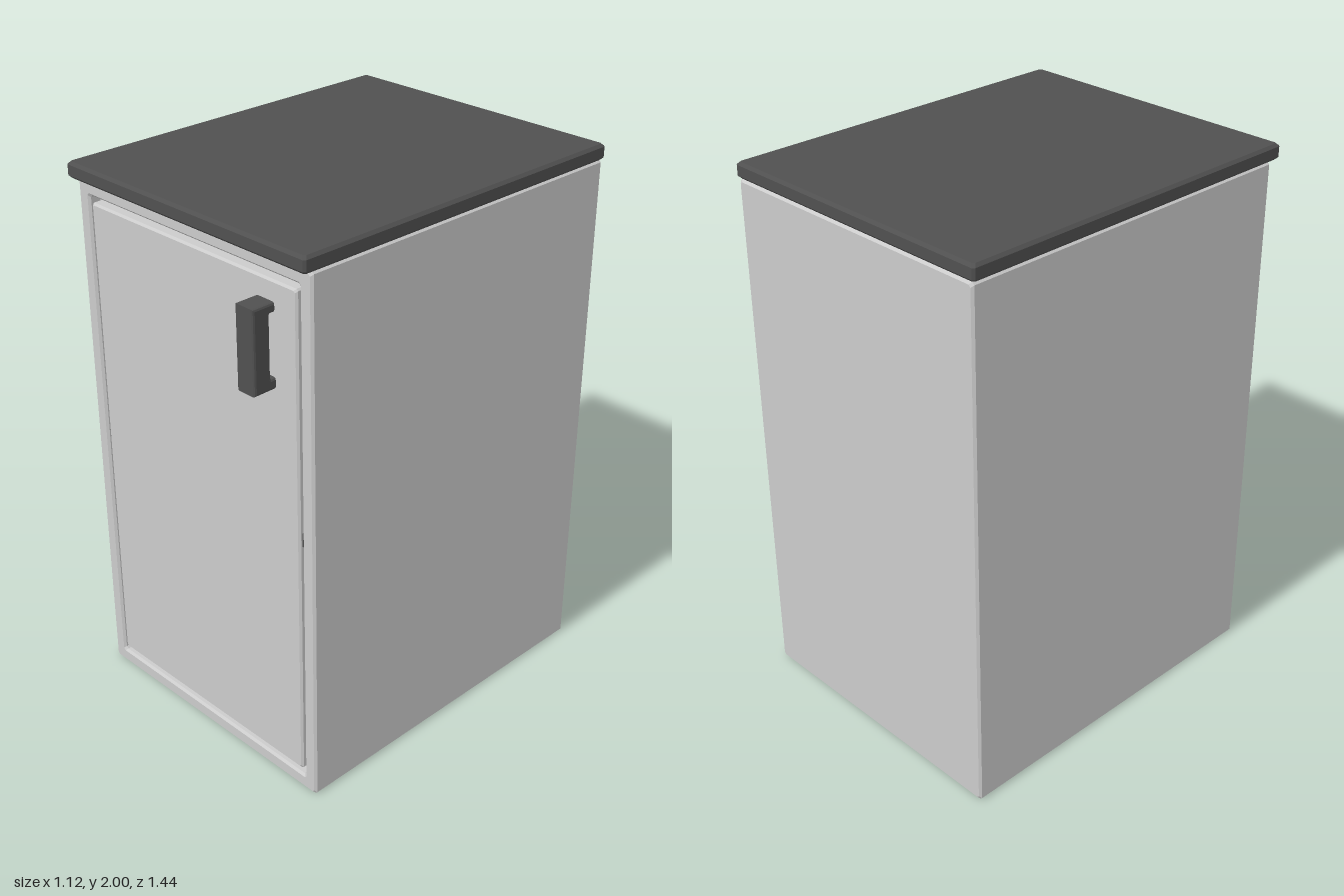
import * as THREE from 'three';

const grey = new THREE.MeshStandardMaterial({ color: 0xcccccc });
const dark = new THREE.MeshStandardMaterial({ color: 0x505050 });

// Rectangle with chamfered corners, swept along z through [inset, z] steps and capped at both ends
function loft(w, h, c, steps) {
  const loops = steps.map(([inset, z]) => {
    const x = w / 2 - inset, y = h / 2 - inset;
    return [[x, c - y], [x, y - c], [x - c, y], [c - x, y], [-x, y - c], [-x, c - y], [c - x, -y], [x - c, -y]]
      .map(([px, py]) => [px, py, z]);
  });
  const pos = [];
  const tri = (...corners) => corners.forEach((p) => pos.push(...p));
  for (let k = 0; k < loops.length - 1; k++) {
    const a = loops[k], b = loops[k + 1];
    for (let i = 0; i < 8; i++) {
      const j = (i + 1) % 8;
      tri(a[i], a[j], b[j]);
      tri(a[i], b[j], b[i]);
    }
  }
  const first = loops[0], last = loops[loops.length - 1];
  for (let i = 1; i < 7; i++) {
    tri(first[0], first[i + 1], first[i]);
    tri(last[0], last[i], last[i + 1]);
  }
  const geo = new THREE.BufferGeometry();
  geo.setAttribute('position', new THREE.Float32BufferAttribute(pos, 3));
  geo.computeVertexNormals();
  return geo;
}

export function createModel() {
  const group = new THREE.Group();
  const add = (name, geo, mat, x, y, z) => {
    const mesh = new THREE.Mesh(geo, mat);
    mesh.name = name;
    mesh.position.set(x, y, z);
    group.add(mesh);
    return mesh;
  };

  // Cabinet body with a recessed door opening in the front
  add('cabinetBody', loft(1.104, 1.942, 0.008, [
    [0.008, -0.712], [0, -0.704], [0, 0.627], [0.008, 0.635],
    [0.046, 0.635], [0.054, 0.627], [0.054, 0.59],
  ]), grey, 0, 0.971, 0);

  // Door set flush in the opening, with a narrow gap all round
  add('door', loft(0.974, 1.792, 0.006, [
    [0, 0.585], [0, 0.628], [0.007, 0.635],
  ]), grey, 0, 0.971, 0);

  // Small catches in the gap at mid height
  for (const side of [-1, 1]) {
    add('doorCatch', new THREE.BoxGeometry(0.012, 0.05, 0.035), dark, side * 0.492, 1.005, 0.605);
  }

  // Worktop with chamfered edges, lofted upwards
  const top = add('worktop', loft(1.12, 1.386, 0.008, [
    [0.01, 0], [0, 0.01], [0, 0.047], [0.01, 0.057],
  ]), dark, 0, 1.943, -0.022);
  top.rotation.x = -Math.PI / 2;

  // C-shaped pull handle, drawn in profile (z, y) and extruded across x
  const bevel = 0.008;
  const outline = [
    [0.63, 1.518], [0.712, 1.518], [0.712, 1.79], [0.63, 1.79], [0.63, 1.773],
    [0.654, 1.773], [0.662, 1.765], [0.662, 1.549], [0.654, 1.541], [0.63, 1.541],
  ].map(([z, y]) => new THREE.Vector2(-z, y));
  const handleGeo = new THREE.ExtrudeGeometry(new THREE.Shape(outline), {
    depth: 0.08 - 2 * bevel, bevelEnabled: true, bevelSize: bevel, bevelThickness: bevel, bevelSegments: 2,
  });
  const handle = add('handle', handleGeo, dark, 0.311 + bevel, 0, 0);
  handle.rotation.y = Math.PI / 2;

  return group;
}
